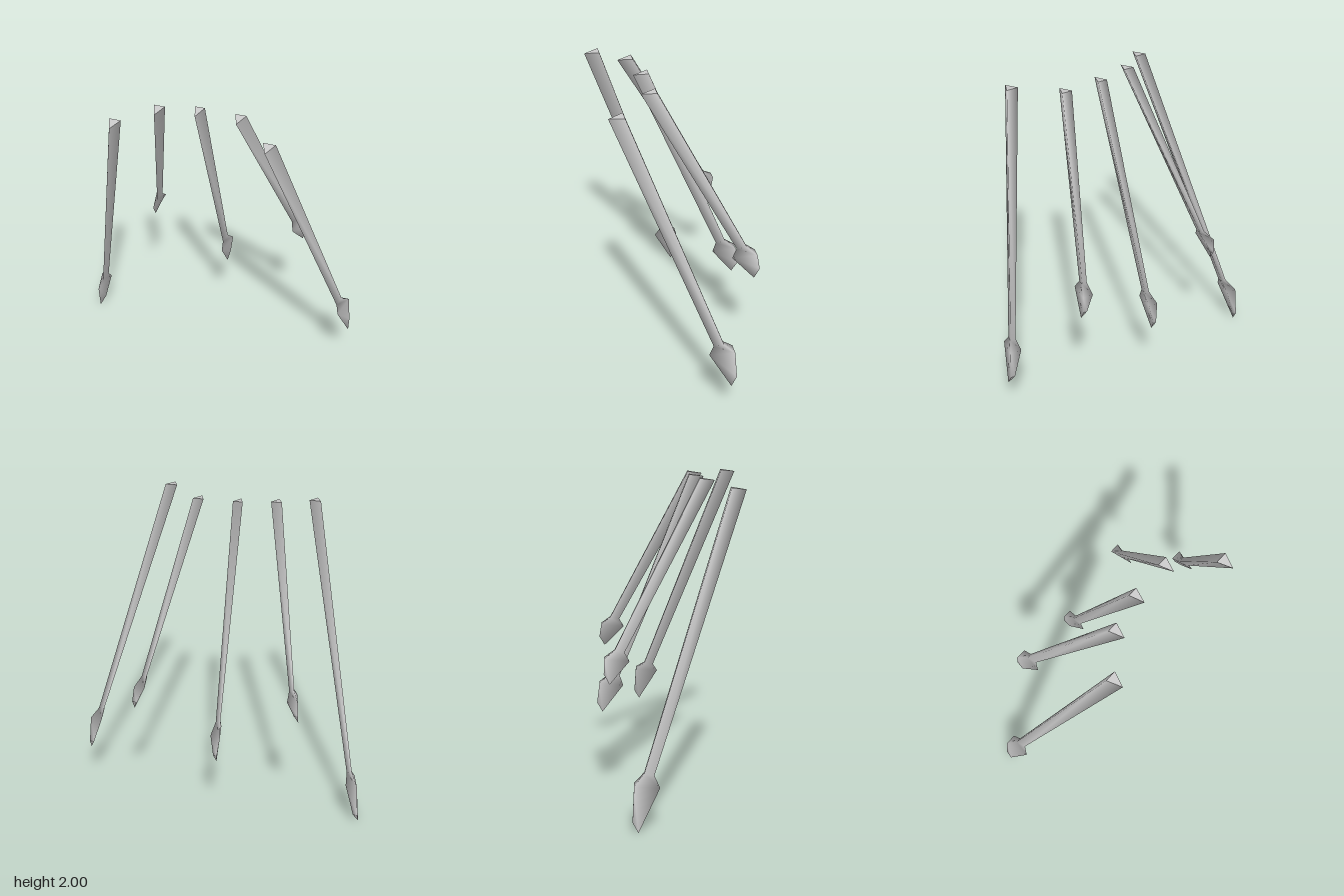
import * as THREE from 'three';

// Triangular sections from top to tip: half width, depth behind the front ridge, rise of the back edge
const SECTIONS = [
  { half: 0.036, depth: 0.09, rise: 0.012 },  // butt
  { half: 0.017, depth: 0.06, rise: 0.015 },  // neck
  { half: 0.036, depth: 0.152, rise: 0.02 },  // barb
  { half: 0.014, depth: 0.034, rise: 0.065 }, // blunt tip
];

// Front ridge of each spike: butt, neck, barb, tip
const SPIKES = {
  outerRightSpike: { girth: 1, ridge: [[-0.456, 1.95, 0.452], [-0.83, 0.325, -0.095], [-0.855, 0.257, -0.062], [-0.91, 0.0, -0.19]] },
  innerRightSpike: { girth: 0.93, ridge: [[-0.247, 1.985, 0.278], [-0.472, 0.975, -0.27], [-0.49, 0.925, -0.24], [-0.524, 0.79, -0.36]] },
  middleSpike: { girth: 0.85, ridge: [[-0.018, 1.988, 0.222], [-0.018, 0.71, -0.31], [-0.018, 0.645, -0.288], [-0.02, 0.468, -0.423]] },
  innerLeftSpike: { girth: 0.93, ridge: [[0.232, 1.985, 0.222], [0.452, 0.98, -0.32], [0.467, 0.925, -0.29], [0.508, 0.785, -0.423]] },
  outerLeftSpike: { girth: 1.05, ridge: [[0.473, 1.975, 0.452], [0.838, 0.56, -0.09], [0.855, 0.51, -0.06], [0.91, 0.288, -0.19]] },
};

function spikeGeometry({ girth, ridge }) {
  const pos = [];
  const index = [];
  // Corners of each section: back right, front ridge, back left
  ridge.forEach(([x, y, z], k) => {
    const { half, depth, rise } = SECTIONS[k];
    const bx = k === 3 ? x * 0.98 : x;
    const w = half * girth;
    pos.push(bx - w, y + rise, z - depth, x, y, z, bx + w, y + rise, z - depth);
  });
  // Sides
  for (let k = 0; k < 3; k++) {
    for (let i = 0; i < 3; i++) {
      const j = (i + 1) % 3;
      const a = k * 3 + i, b = k * 3 + j;
      index.push(a, a + 3, b + 3, a, b + 3, b);
    }
  }
  // Caps with their own corners
  pos.push(...pos.slice(0, 9), ...pos.slice(27, 36));
  index.push(12, 13, 14, 15, 17, 16);

  const geometry = new THREE.BufferGeometry();
  geometry.setAttribute('position', new THREE.Float32BufferAttribute(pos, 3));
  geometry.setIndex(index);
  geometry.computeVertexNormals();
  return geometry;
}

export function createModel() {
  const group = new THREE.Group();
  group.name = 'spikes';
  const material = new THREE.MeshStandardMaterial({ color: 0xcccccc });
  for (const [name, spike] of Object.entries(SPIKES)) {
    const mesh = new THREE.Mesh(spikeGeometry(spike), material);
    mesh.name = name;
    group.add(mesh);
  }
  return group;
}
